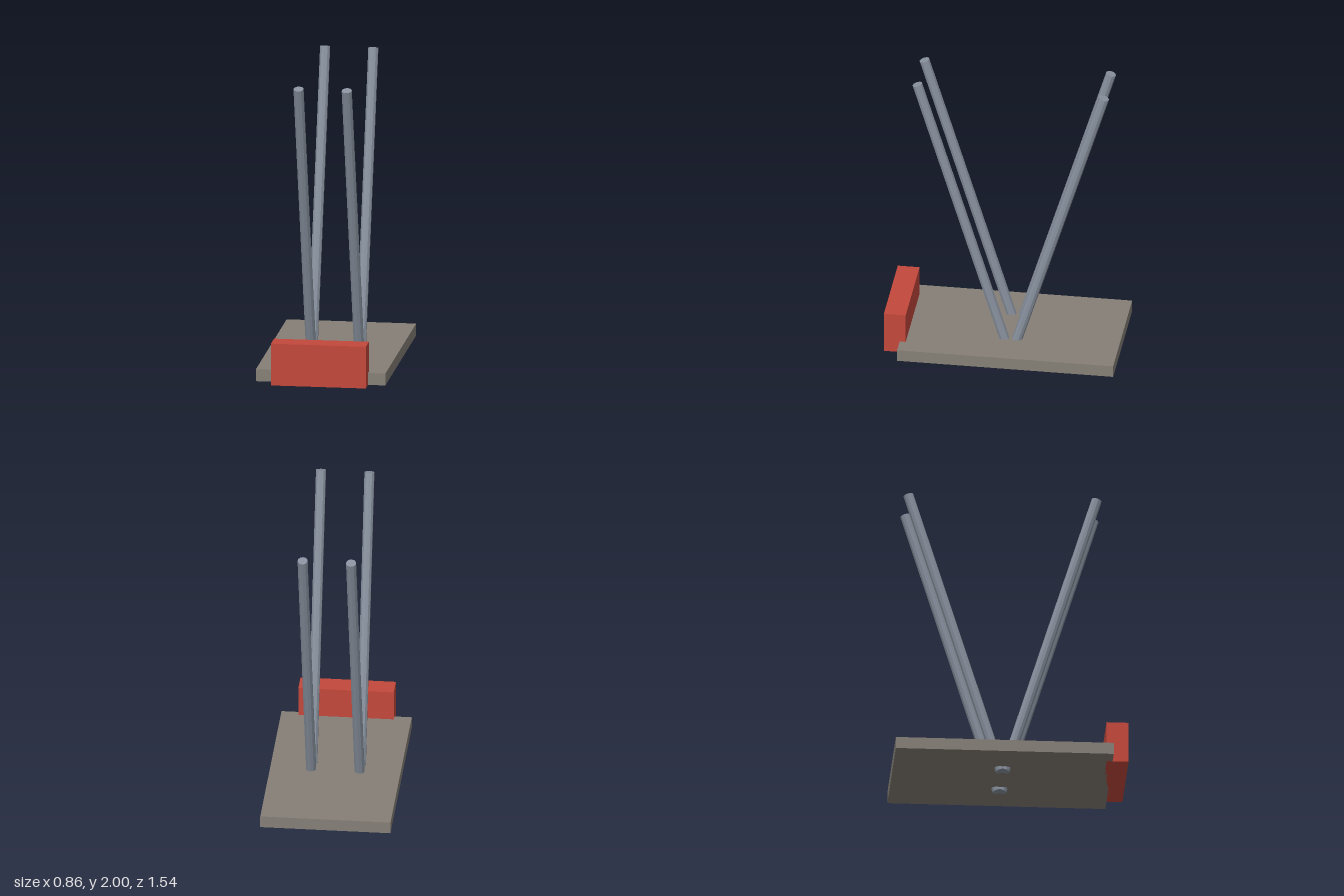
import * as THREE from 'three';

const mat = (name, color) => {
  const m = new THREE.MeshStandardMaterial({ color, flatShading: true });
  m.name = name;
  return m;
};

export function createModel() {
  const model = new THREE.Group();
  const stone = mat('stone grey', 0x857f76);
  const red = mat('red', 0xc4483c);
  const steel = mat('steel grey', 0x88919e);

  // Box given by its lower and upper corners
  const block = (name, material, [x0, y0, z0], [x1, y1, z1]) => {
    const mesh = new THREE.Mesh(new THREE.BoxGeometry(x1 - x0, y1 - y0, z1 - z0), material);
    mesh.position.set((x0 + x1) / 2, (y0 + y1) / 2, (z0 + z1) / 2);
    mesh.name = name;
    model.add(mesh);
  };

  // Flat base and the raised block at its front edge
  block('base', stone, [-0.43, 0.03, -0.77], [0.43, 0.11, 0.665]);
  block('frontBlock', red, [-0.315, 0.03, 0.625], [0.315, 0.312, 0.77]);

  // Two pairs of rods leaning apart in a V, their feet piercing the base
  const midZ = -0.05;
  const up = new THREE.Vector3(0, 1, 0);
  for (const lean of [1, -1]) {
    for (const side of [1, -1]) {
      const foot = new THREE.Vector3(side * 0.16, 0.01, midZ + lean * 0.013);
      const tip = new THREE.Vector3(side * 0.16, 1.99, midZ + lean * 0.62);
      const axis = tip.clone().sub(foot);
      const rod = new THREE.Mesh(new THREE.CylinderGeometry(0.034, 0.034, axis.length(), 10), steel);
      rod.position.copy(foot).add(tip).multiplyScalar(0.5);
      rod.quaternion.setFromUnitVectors(up, axis.normalize());
      rod.name = (lean > 0 ? 'front' : 'back') + (side > 0 ? 'Left' : 'Right') + 'Rod';
      model.add(rod);
    }
  }
  return model;
}
